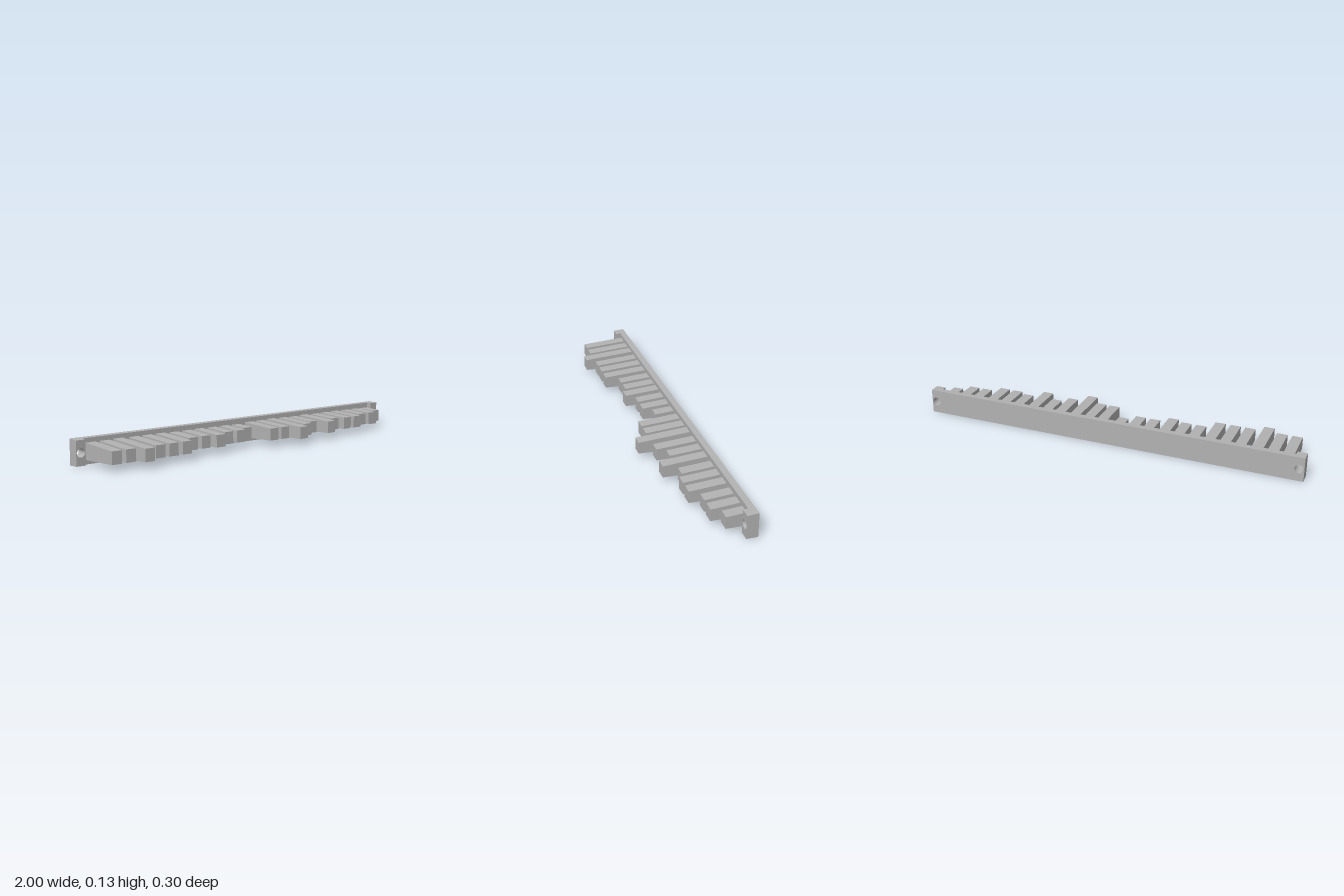
import * as THREE from 'three';

const MID = 0.0635;   // height of the centre line
const DRAFT = 0.043;  // slope of the top and bottom faces
const BACK = -0.149, PLATE_FRONT = -0.117, BOSS_FRONT = -0.092;

// Narrow the height towards the front; half height is `half` at z = zRef.
function taper(geometry, half, zRef) {
  const p = geometry.attributes.position;
  for (let i = 0; i < p.count; i++) {
    const k = (half - DRAFT * (p.getZ(i) - zRef)) / half;
    p.setY(i, MID + p.getY(i) * k);
  }
  geometry.computeVertexNormals();
  return geometry;
}

// Rectangular slab from x0 to x1 with screw holes at the given x positions.
function slab(x0, x1, z0, z1, holes) {
  const s = new THREE.Shape();
  s.moveTo(x0, -MID).lineTo(x1, -MID).lineTo(x1, MID).lineTo(x0, MID).closePath();
  for (const x of holes) {
    s.holes.push(new THREE.Path().absarc(x, 0, 0.022, 0, Math.PI * 2, true));
  }
  const g = new THREE.ExtrudeGeometry(s, { depth: z1 - z0, bevelEnabled: false, curveSegments: 24 });
  g.translate(0, 0, z0);
  return taper(g, MID, BACK);
}

export function createModel() {
  const model = new THREE.Group();
  model.name = 'toothedBar';
  const grey = new THREE.MeshStandardMaterial({ color: 0xb2b2b2 });
  grey.name = 'grey';
  const add = (name, geometry) => {
    const mesh = new THREE.Mesh(geometry, grey);
    mesh.name = name;
    model.add(mesh);
  };

  // Back plate and the two raised screw bosses
  add('backPlate', slab(-1, 1, BACK, PLATE_FRONT, [-0.975, 0.975]));
  add('rightBoss', slab(-1, -0.95, PLATE_FRONT, BOSS_FRONT, [-0.975]));
  add('leftBoss', slab(0.95, 1, PLATE_FRONT, BOSS_FRONT, [0.975]));

  // Teeth: centre x and length step
  const teeth = [
    [-0.909, 6], [-0.833, 6], [-0.758, 8], [-0.671, 6], [-0.595, 6], [-0.517, 6],
    [-0.434, 3], [-0.357, 3], [-0.282, 4], [-0.197, 2], [-0.12, 2], [-0.042, 0],
    [0.05, 5], [0.123, 5], [0.198, 8], [0.285, 5], [0.36, 3], [0.438, 6],
    [0.525, 3], [0.6, 4], [0.676, 4], [0.762, 2], [0.838, 2], [0.914, 0],
  ];
  const tipHalf = 0.031;
  teeth.forEach(([x, step], i) => {
    const tip = -0.018 + 0.021 * step;
    const g = new THREE.BoxGeometry(0.053, tipHalf * 2, tip - PLATE_FRONT);
    g.translate(x, 0, (tip + PLATE_FRONT) / 2);
    add('tooth' + (i + 1), taper(g, tipHalf, tip));
  });
  return model;
}
